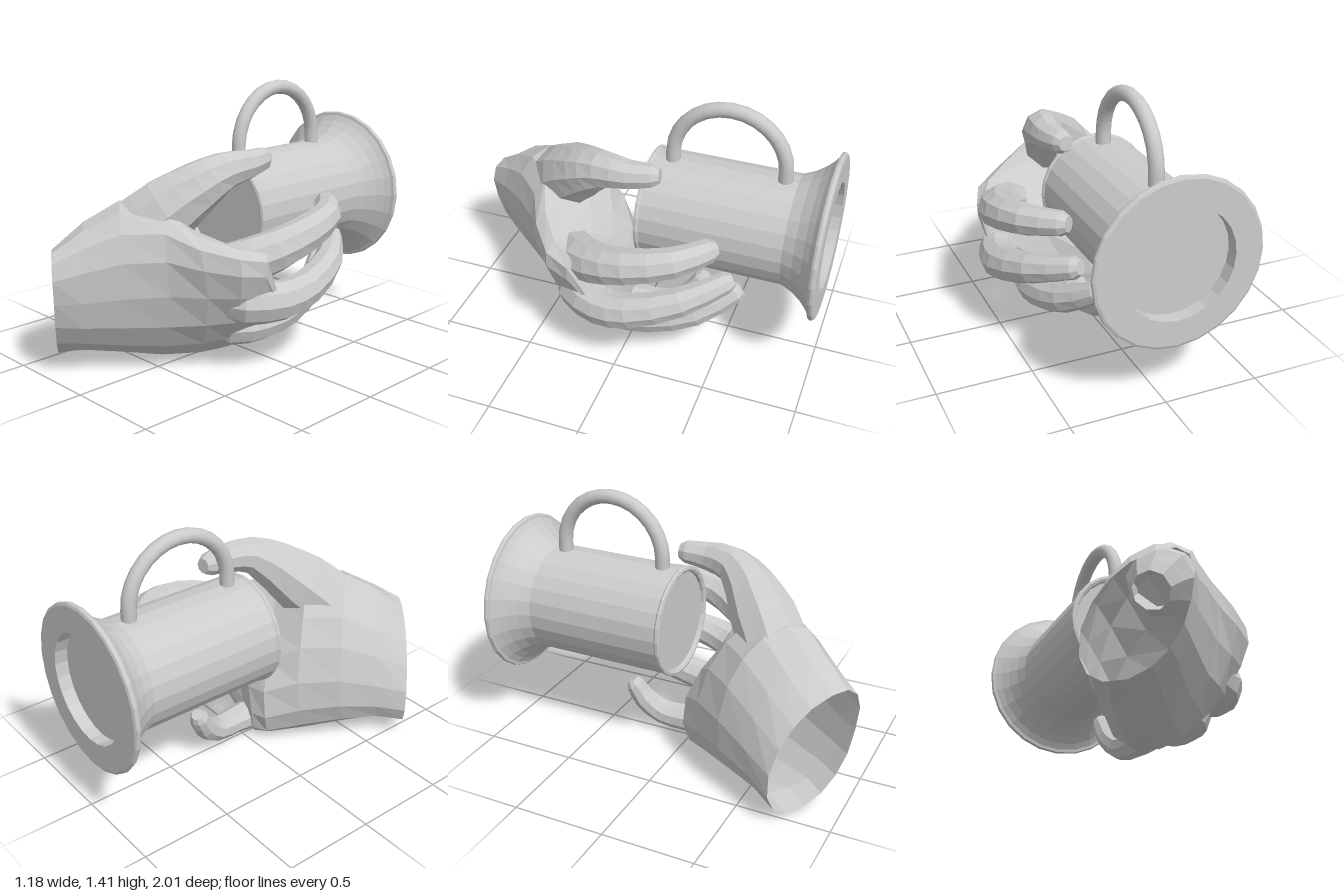
import * as THREE from 'three';

const V = (p) => new THREE.Vector3(...p);
const faceted = new THREE.MeshStandardMaterial({ color: 0xcccccc, flatShading: true, side: THREE.DoubleSide });
const smooth = new THREE.MeshStandardMaterial({ color: 0xcccccc });

function add(parent, name, geometry, material) {
  const mesh = new THREE.Mesh(geometry, material);
  mesh.name = name;
  parent.add(mesh);
}

// Skin a list of equal-sized rings; the last ring is closed with a fan
function loft(rings) {
  const n = rings[0].length, pos = [], idx = [];
  rings.forEach((r) => r.forEach((p) => pos.push(p.x, p.y, p.z)));
  for (let j = 0; j < rings.length - 1; j++) {
    for (let i = 0; i < n; i++) {
      const a = j * n + i, b = j * n + (i + 1) % n;
      idx.push(a, b, b + n, a, b + n, a + n);
    }
  }
  const last = rings[rings.length - 1];
  const c = last.reduce((s, p) => s.add(p), new THREE.Vector3()).divideScalar(n);
  pos.push(c.x, c.y, c.z);
  const start = (rings.length - 1) * n;
  for (let i = 0; i < n; i++) idx.push(start + i, start + (i + 1) % n, rings.length * n);
  const g = new THREE.BufferGeometry();
  g.setAttribute('position', new THREE.Float32BufferAttribute(pos, 3));
  g.setIndex(idx);
  g.computeVertexNormals();
  return g;
}

// Tapered digit along [x, y, z, radius] points, with a rounded tip
function digit(points, sides = 9) {
  const curve = new THREE.CatmullRomCurve3(points.map((p) => V(p.slice(0, 3))));
  const segs = points.length - 1, steps = segs * 2, rings = [];
  const ring = (t, r, push = 0) => {
    const tan = curve.getTangent(t), c = curve.getPoint(t).addScaledVector(tan, push);
    const e1 = new THREE.Vector3(0, 1, 0).cross(tan).normalize();
    const e2 = tan.clone().cross(e1);
    return Array.from({ length: sides }, (_, i) => {
      const a = ((i + 0.5) / sides) * Math.PI * 2;
      return c.clone().addScaledVector(e1, r * Math.cos(a)).addScaledVector(e2, r * Math.sin(a));
    });
  };
  for (let k = 0; k <= steps; k++) {
    const f = (k / steps) * segs, i = Math.min(Math.floor(f), segs - 1);
    rings.push(ring(k / steps, THREE.MathUtils.lerp(points[i][3], points[i + 1][3], f - i)));
  }
  const tip = points[segs][3];
  rings.push(ring(1, tip * 0.65, tip * 0.6));
  return loft(rings);
}

// Palm ring through its top, outer, bottom and inner points
function palmRing([top, outer, bottom, inner], n = 16) {
  const [T, O, B, I] = [top, outer, bottom, inner].map(V);
  const c = T.clone().add(O).add(B).add(I).multiplyScalar(0.25);
  return Array.from({ length: n }, (_, i) => {
    const a = (-i / n) * Math.PI * 2, x = Math.cos(a), y = Math.sin(a);
    return c.clone()
      .addScaledVector((x > 0 ? O : I).clone().sub(c), Math.abs(x) ** 0.9)
      .addScaledVector((y > 0 ? T : B).clone().sub(c), Math.abs(y) ** 0.9);
  });
}

function createMug() {
  const mug = new THREE.Group();
  mug.name = 'mug';
  mug.position.set(-0.05, 0.74, 0);

  // Body profile as [radius, distance behind z = 0], recessed at both ends
  const profile = [
    [0, 0.93], [0.29, 0.93], [0.29, 1.0], [0.425, 1.0], [0.438, 0.994], [0.441, 0.982], [0.436, 0.97],
    [0.42, 0.966], [0.39, 0.945], [0.355, 0.91], [0.32, 0.86], [0.294, 0.8], [0.294, 0.045],
    [0.302, 0.035], [0.3, 0.022], [0.285, 0.018], [0.272, 0.025], [0.268, 0.04], [0, 0.04],
  ].map(([r, d]) => new THREE.Vector2(r, -d));
  add(mug, 'body', new THREE.LatheGeometry(profile, 24).rotateX(Math.PI / 2), faceted);

  // Arched handle with straight ends
  const handle = new THREE.Group();
  handle.name = 'handle';
  handle.position.set(0, 0.34, -0.435);
  mug.add(handle);
  add(handle, 'handleArch', new THREE.TorusGeometry(0.297, 0.039, 12, 14, Math.PI).rotateY(Math.PI / 2), smooth);
  for (const s of [-1, 1]) {
    const end = new THREE.CylinderGeometry(0.039, 0.039, 0.1, 12, 1, true);
    add(handle, 'handleEnd', end.translate(0, -0.05, s * 0.297), smooth);
  }
  return mug;
}

function createHand() {
  const hand = new THREE.Group();
  hand.name = 'hand';

  // Open wrist through to the knuckles: top, outer, bottom, inner
  const sections = [
    [[-0.32, 0.66, 0.91], [-0.19, 0.42, 1.0], [-0.42, 0.05, 0.83], [-0.59, 0.3, 0.7]],
    [[-0.25, 0.79, 0.76], [-0.1, 0.42, 0.89], [-0.34, 0.08, 0.72], [-0.51, 0.36, 0.54]],
    [[-0.15, 0.89, 0.61], [0.03, 0.44, 0.74], [-0.25, 0.06, 0.56], [-0.41, 0.42, 0.35]],
    [[0.0, 0.88, 0.47], [0.18, 0.45, 0.57], [-0.12, 0.02, 0.38], [-0.27, 0.41, 0.17]],
    [[0.17, 0.76, 0.4], [0.33, 0.45, 0.45], [0.0, 0.005, 0.22], [-0.14, 0.34, 0.04]],
    [[0.33, 0.69, 0.29], [0.45, 0.45, 0.34], [0.05, 0.012, 0.13], [-0.02, 0.32, 0.03]],
    [[0.42, 0.66, 0.18], [0.48, 0.44, 0.23], [0.1, 0.03, 0.09], [0.13, 0.34, 0.07]],
    [[0.44, 0.44, 0.11], [0.47, 0.36, 0.13], [0.24, 0.15, 0.07], [0.25, 0.3, 0.06]],
  ];
  add(hand, 'palm', loft(sections.map((s) => palmRing(s))), faceted);

  // Thumb and fingers wrapped around the mug, rooted inside the palm
  const digits = {
    thumb: [[-0.2, 0.62, 0.62, 0.1], [-0.11, 0.72, 0.54, 0.18], [0.0, 0.84, 0.42, 0.175],
      [0.1, 0.955, 0.29, 0.135], [0.16, 1.025, 0.17, 0.1], [0.18, 1.04, 0.02, 0.077],
      [0.162, 1.05, -0.1, 0.062]],
    indexFinger: [[0.14, 0.5, 0.36, 0.08], [0.33, 0.58, 0.27, 0.125], [0.45, 0.65, 0.1, 0.11],
      [0.492, 0.71, -0.08, 0.095], [0.44, 0.755, -0.3, 0.08], [0.31, 0.775, -0.45, 0.064]],
    middleFinger: [[0.18, 0.4, 0.36, 0.06], [0.38, 0.39, 0.24, 0.115], [0.47, 0.385, 0.07, 0.105],
      [0.495, 0.42, -0.09, 0.093], [0.43, 0.5, -0.34, 0.078], [0.28, 0.57, -0.54, 0.059]],
    ringFinger: [[0.06, 0.25, 0.27, 0.06], [0.23, 0.21, 0.19, 0.1], [0.3, 0.21, 0.04, 0.092],
      [0.31, 0.23, -0.14, 0.083], [0.27, 0.31, -0.38, 0.075], [0.17, 0.425, -0.57, 0.058]],
    littleFinger: [[0.0, 0.17, 0.25, 0.06], [0.03, 0.1, 0.12, 0.088], [0.03, 0.095, -0.04, 0.077],
      [0.01, 0.11, -0.18, 0.07], [-0.02, 0.19, -0.28, 0.064], [-0.04, 0.28, -0.33, 0.052]],
  };
  for (const [name, points] of Object.entries(digits)) add(hand, name, digit(points), faceted);
  return hand;
}

export function createModel() {
  const model = new THREE.Group();
  model.name = 'handHoldingMug';
  model.add(createMug(), createHand());
  return model;
}
